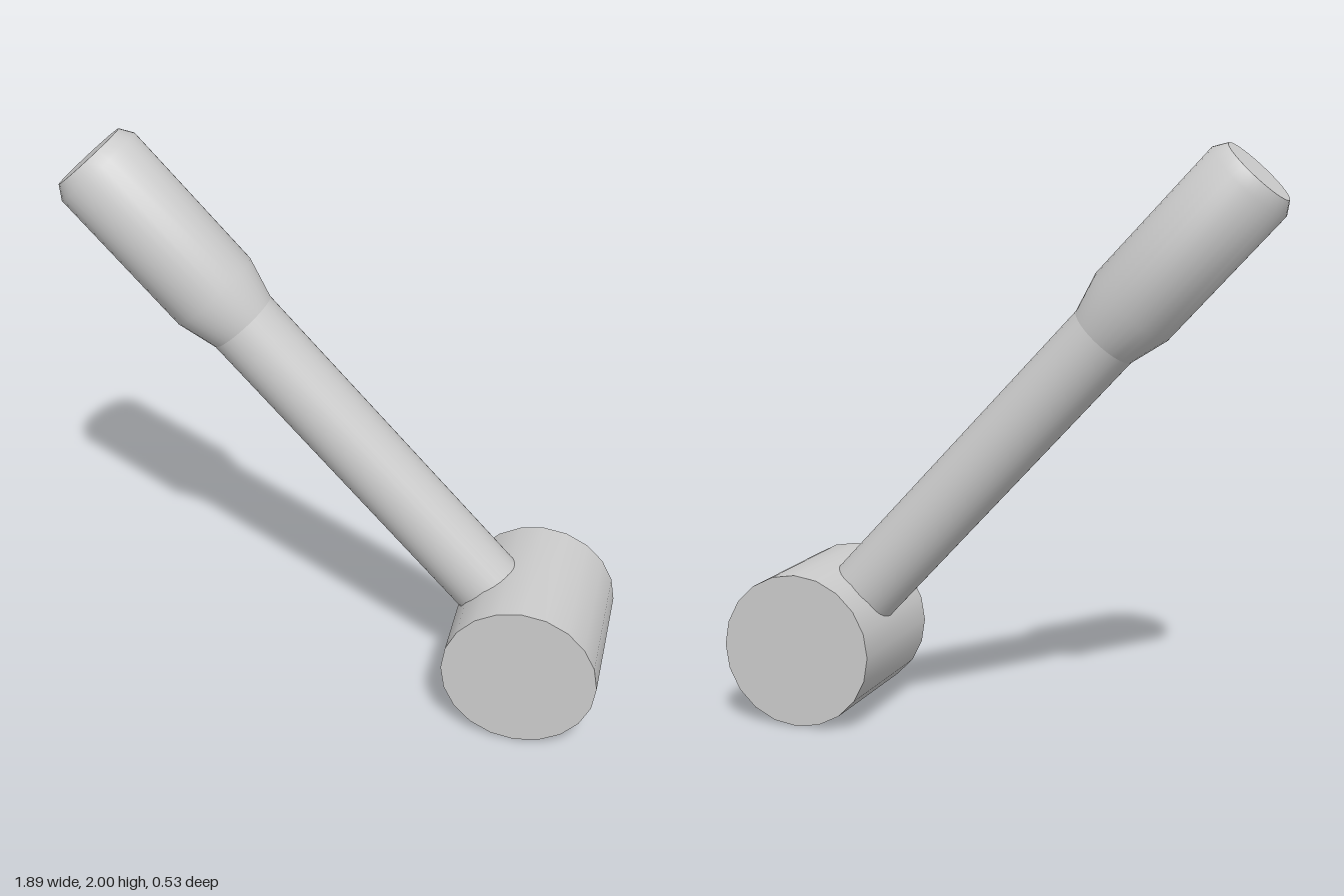
import * as THREE from 'three';
import { toCreasedNormals } from 'three/addons/utils/BufferGeometryUtils.js';

export function createModel() {
  const model = new THREE.Group();
  model.name = 'mallet';
  const material = new THREE.MeshStandardMaterial({ color: 0xcccccc });
  const sides = 20;

  const add = (parent, name, geometry) => {
    const mesh = new THREE.Mesh(toCreasedNormals(geometry, 0.66), material);
    mesh.name = name;
    parent.add(mesh);
    return mesh;
  };
  // Turned part from [radius, height] pairs, bottom to top
  const turned = (profile) =>
    new THREE.LatheGeometry(profile.map(([r, y]) => new THREE.Vector2(r, y)), 32);

  // Head: a short drum lying front to back
  const head = add(model, 'head', new THREE.CylinderGeometry(0.268, 0.268, 0.534, sides));
  head.rotation.x = Math.PI / 2;
  head.position.set(0.677, 0.268, 0);

  // Handle: leans out of the middle of the head, slightly towards the back
  const handle = new THREE.Group();
  handle.name = 'handle';
  handle.position.set(0.677, 0.268, -0.02);
  handle.rotation.z = 0.749;
  model.add(handle);

  add(handle, 'shaft', turned([[0, 0], [0.125, 0], [0.125, 1.503]]));

  // Grip: flares from the shaft, with a bevelled flat end
  add(handle, 'grip', turned([
    [0.125, 1.503], [0.162, 1.643], [0.162, 2.197], [0.133, 2.242], [0, 2.242],
  ]));

  return model;
}
